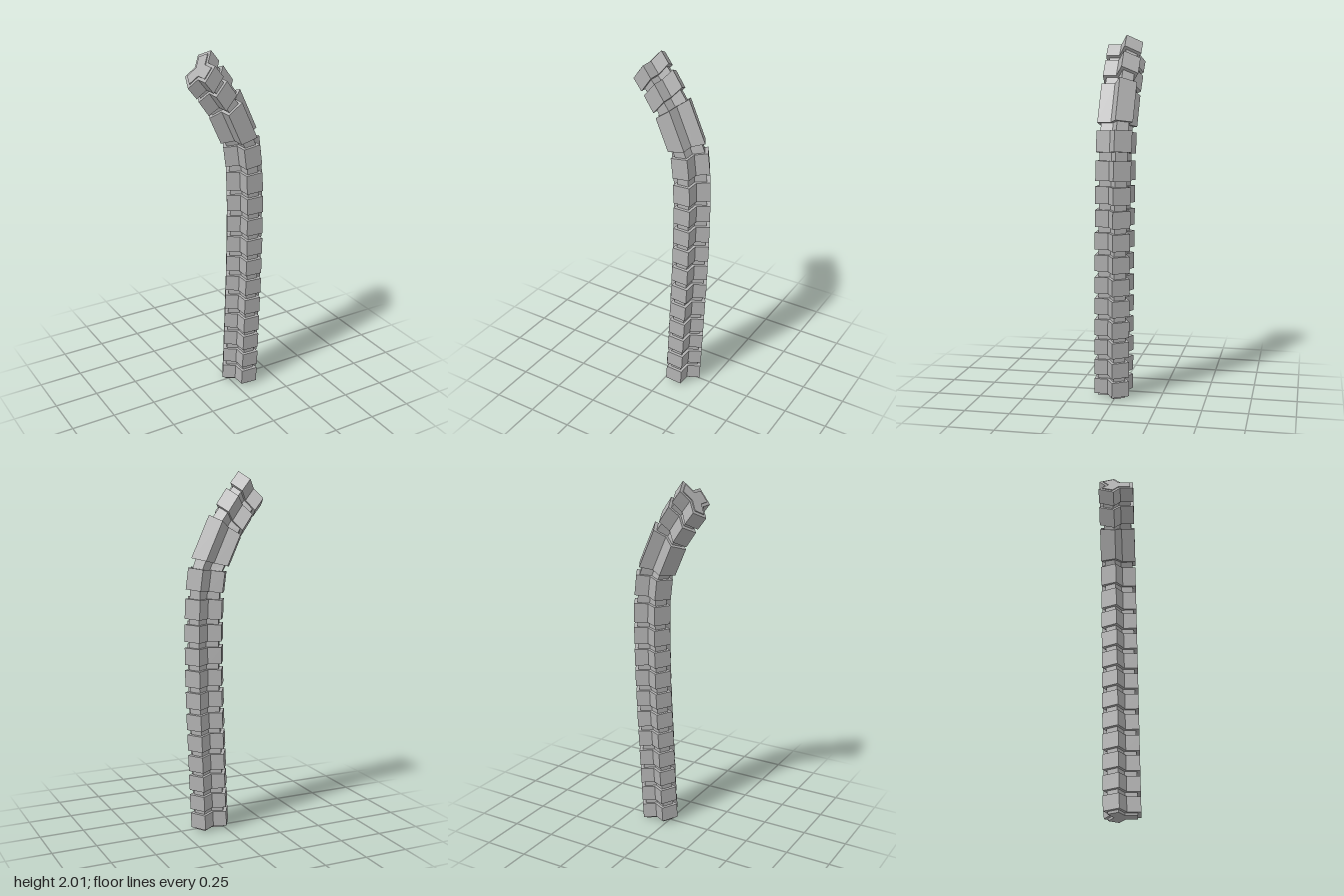
import * as THREE from 'three';

// Three-armed outline: one arm to the front, two to the back.
function outline(reach, width) {
  const pts = [];
  for (let k = 0; k < 3; k++) {
    const a = (k * 2 * Math.PI) / 3, s = Math.sin(a), c = Math.cos(a), h = width / 2;
    pts.push([reach * s - h * c, reach * c + h * s], [reach * s + h * c, reach * c - h * s]);
    const n = a + Math.PI / 3, r = width / Math.sqrt(3);
    pts.push([r * Math.sin(n), r * Math.cos(n)]);
  }
  return pts;
}

// Closed, faceted loft of an outline through stations [x, y, z, tilt in degrees].
function loft(shape, stations) {
  const pos = [], index = [], n = shape.length, last = stations.length - 1;
  for (const [x, y, z, tilt] of stations) {
    const t = THREE.MathUtils.degToRad(tilt);
    for (const [u, v] of shape) pos.push(x + u * Math.cos(t), y + u * Math.sin(t), z + v);
  }
  pos.push(...stations[0].slice(0, 3), ...stations[last].slice(0, 3));
  const bottom = n * stations.length, top = bottom + 1;
  for (let i = 0; i < n; i++) {
    const j = (i + 1) % n;
    for (let s = 0; s < last; s++) {
      const a = s * n, b = a + n;
      index.push(a + i, a + j, b + j, a + i, b + j, b + i);
    }
    index.push(bottom, j, i, top, last * n + i, last * n + j);
  }
  const geo = new THREE.BufferGeometry();
  geo.setAttribute('position', new THREE.Float32BufferAttribute(pos, 3));
  geo.setIndex(index);
  const flat = geo.toNonIndexed();
  flat.computeVertexNormals();
  return flat;
}

export function createModel() {
  const group = new THREE.Group();
  group.name = 'segmentedColumn';
  const grey = new THREE.MeshStandardMaterial({ color: 0xb2b2b2 });
  grey.name = 'grey';

  const wide = outline(0.104, 0.1);
  const narrow = outline(0.086, 0.068);
  const depth = (y) => 0.017 - 0.0145 * y;

  // Blocks of the shaft: centre x, centre y, height, tilt
  const shaft = [
    [0.071, 0.06, 0.085, -3], [0.077, 0.171, 0.085, -3], [0.082, 0.287, 0.087, -3],
    [0.087, 0.401, 0.09, -3], [0.092, 0.522, 0.09, -3], [0.098, 0.642, 0.09, -3],
    [0.102, 0.766, 0.09, -2], [0.106, 0.889, 0.092, -1.5], [0.108, 1.013, 0.093, -1],
    [0.109, 1.14, 0.094, 0], [0.107, 1.271, 0.108, 2], [0.096, 1.425, 0.115, 7],
  ];
  const blocks = shaft.map(([x, y, h, tilt]) => {
    const dx = (Math.sin(THREE.MathUtils.degToRad(tilt)) * h) / 2;
    return [[x + dx, y - h / 2, depth(y - h / 2), tilt - 0.5], [x - dx, y + h / 2, depth(y + h / 2), tilt + 0.5]];
  });

  // Bent upper blocks: bottom and top stations
  blocks.push(
    [[0.072, 1.52, -0.004, 14], [-0.013, 1.71, -0.008, 35]],
    [[-0.036, 1.745, -0.009, 50], [-0.094, 1.829, -0.011, 50]],
    [[-0.112, 1.852, -0.011, 54], [-0.16, 1.914, -0.013, 53]],
  );

  blocks.forEach((stations, i) => {
    const block = new THREE.Mesh(loft(wide, stations), grey);
    block.name = 'block' + (i + 1);
    group.add(block);
  });

  // Narrow core running through every block and just out of both ends
  const coreStations = [[0.07, 0.004, 0.017, -3], ...blocks.flat(), [-0.164, 1.917, -0.013, 53]];
  const core = new THREE.Mesh(loft(narrow, coreStations), grey);
  core.name = 'core';
  group.add(core);

  // Rest the model on the ground
  const box = new THREE.Box3().setFromObject(group);
  group.position.y = -box.min.y;
  return group;
}
